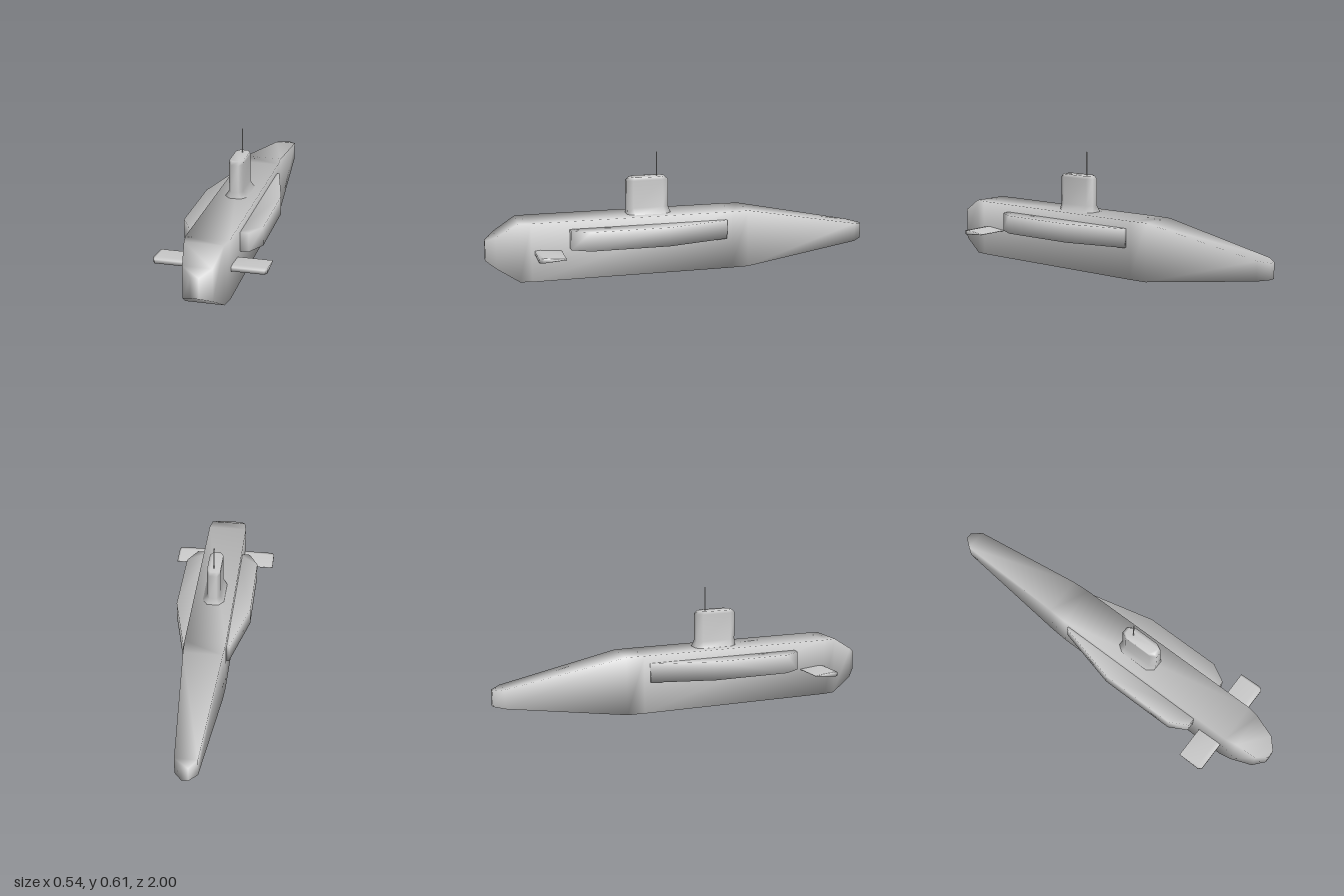
import * as THREE from 'three';

const material = new THREE.MeshStandardMaterial({ color: 0xcccccc });

// Smooth closed solid through a list of rings ([x, y, z] corners), capped at both ends
function loft(name, rings) {
  const n = rings[0].length;
  const points = rings.flat();
  const index = [];
  for (let r = 0; r < rings.length - 1; r++) {
    for (let i = 0; i < n; i++) {
      const a = r * n + i, b = r * n + (i + 1) % n;
      index.push([a, b, b + n], [a, b + n, a + n]);
    }
  }
  const last = (rings.length - 1) * n;
  for (let i = 1; i < n - 1; i++) {
    index.push([0, i + 1, i], [last, last + i, last + i + 1]);
  }
  // Signed volume tells whether the faces point inwards
  const v = points.map((p) => new THREE.Vector3(...p));
  const volume = index.reduce((sum, [a, b, c]) => sum + v[a].dot(v[b].clone().cross(v[c])), 0);
  if (volume < 0) index.forEach((t) => t.reverse());

  const geometry = new THREE.BufferGeometry().setFromPoints(v);
  geometry.setIndex(index.flat());
  geometry.computeVertexNormals();
  const mesh = new THREE.Mesh(geometry, material);
  mesh.name = name;
  return mesh;
}

// Elongated octagon in plan for the sail
function sailRing(y, halfWidth, endHalfWidth, z0, z1, chamfer) {
  const w = halfWidth, e = endHalfWidth;
  return [
    [e, y, z1], [w, y, z1 - chamfer], [w, y, z0 + chamfer], [e, y, z0],
    [-e, y, z0], [-w, y, z0 + chamfer], [-w, y, z1 - chamfer], [-e, y, z1],
  ];
}

export function createModel() {
  const group = new THREE.Group();

  // Hull: rectangular sections as [z, half width, bottom, top]
  const sections = [
    [1, 0.02, 0.1, 0.2],
    [0.95, 0.07, 0.069, 0.23],
    [0.84, 0.093, 0, 0.296],
    [0.78, 0.104, 0, 0.296],
    [-0.25, 0.104, 0, 0.296],
    [-0.34, 0.099, 0, 0.296],
    [-0.95, 0.055, 0.084, 0.18],
    [-1, 0.016, 0.091, 0.17],
  ];
  group.add(loft('hull', sections.map(([z, w, y0, y1]) =>
    [[w, y0, z], [w, y1, z], [-w, y1, z], [-w, y0, z]])));

  for (const s of [1, -1]) {
    const side = s > 0 ? 'left' : 'right';

    // Side pod: plan outline raised from bottom to top
    const plan = [[0.08, 0.59], [0.145, 0.59], [0.195, 0.5], [0.195, 0.1], [0.117, -0.22], [0.08, -0.22]];
    group.add(loft(side + 'SidePod', [0.16, 0.256].map((y) =>
      plan.map(([x, z]) => [s * x, y, z]))));

    // Bow plane: thin wedge, thick at the front, with a clipped tip
    const plane = (x, front) => [
      [s * x, 0.137, front], [s * x, 0.157, front],
      [s * x, 0.16, 0.74], [s * x, 0.15, 0.632], [s * x, 0.146, 0.632],
    ];
    group.add(loft(side + 'BowPlane', [plane(0.08, 0.765), plane(0.26, 0.765), plane(0.271, 0.75)]));
  }

  // Sail: flared foot, straight trunk, top bevelled fore and aft
  group.add(loft('sail', [
    sailRing(0.285, 0.057, 0.03, 0.058, 0.282, 0.035),
    sailRing(0.296, 0.056, 0.03, 0.058, 0.282, 0.035),
    sailRing(0.328, 0.035, 0.018, 0.068, 0.282, 0.03),
    sailRing(0.468, 0.035, 0.018, 0.068, 0.282, 0.03),
    sailRing(0.484, 0.035, 0.018, 0.085, 0.265, 0.025),
  ]));

  // Mast
  const mast = new THREE.Mesh(new THREE.CylinderGeometry(0.003, 0.003, 0.13, 8), material);
  mast.name = 'mast';
  mast.position.set(0, 0.541, 0.122);
  group.add(mast);

  return group;
}
